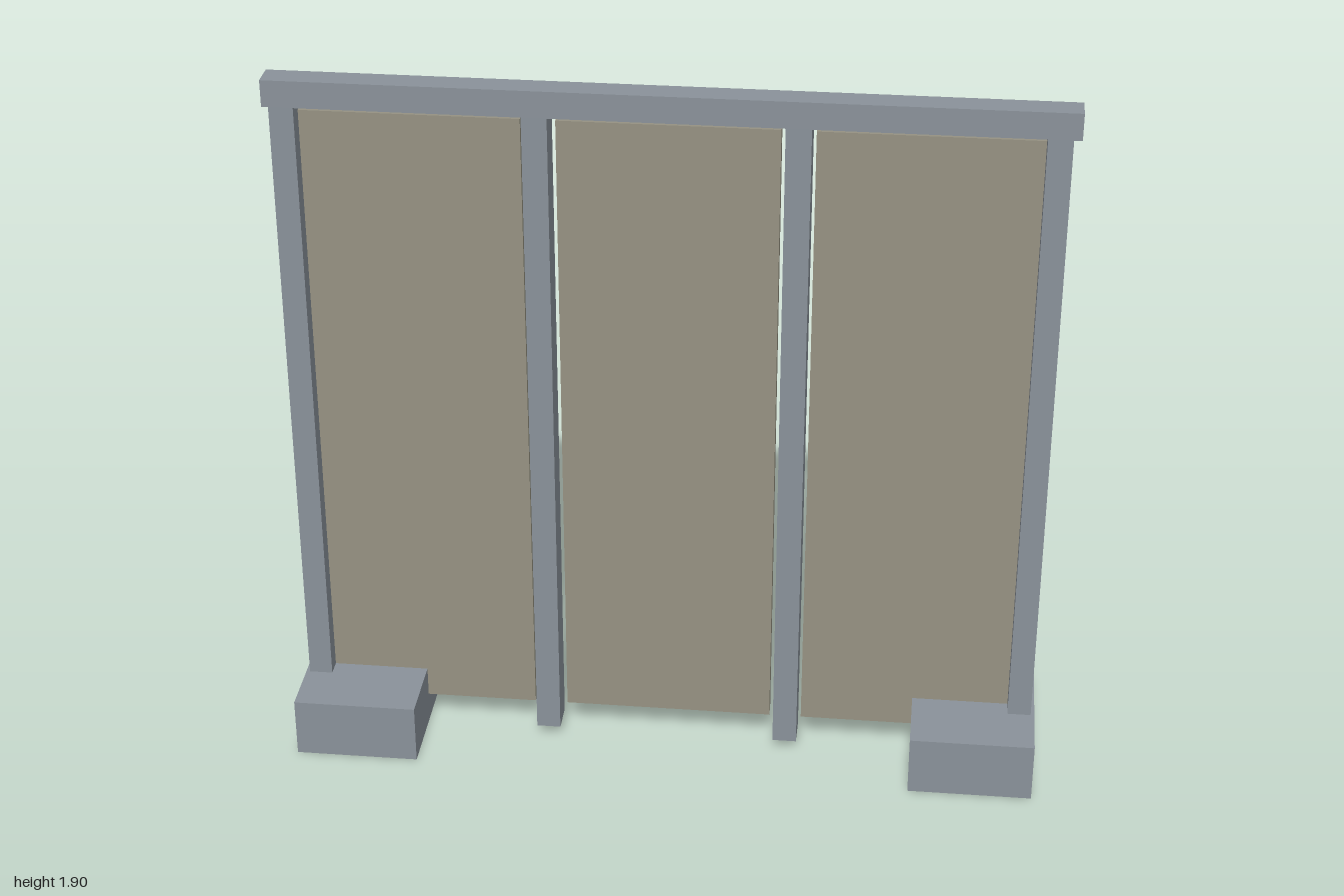
import * as THREE from 'three';

export function createModel() {
  const model = new THREE.Group();

  const steel = new THREE.MeshStandardMaterial({ color: 0x8a929a });
  steel.name = 'steel grey';
  const board = new THREE.MeshStandardMaterial({ color: 0x969282 });
  board.name = 'board beige';

  // Box given by its minimum and maximum on each axis
  function addBox(name, material, [x0, x1], [y0, y1], [z0, z1]) {
    const mesh = new THREE.Mesh(new THREE.BoxGeometry(x1 - x0, y1 - y0, z1 - z0), material);
    mesh.position.set((x0 + x1) / 2, (y0 + y1) / 2, (z0 + z1) / 2);
    mesh.name = name;
    model.add(mesh);
  }

  // Top rail along the front of the posts
  addBox('topRail', steel, [-1, 1], [1.83, 1.9], [-0.003, 0.068]);

  // Footing blocks under the two ends
  addBox('rightFooting', steel, [-0.995, -0.667], [0, 0.163], [-0.212, 0.212]);
  addBox('leftFooting', steel, [0.662, 0.99], [0, 0.163], [-0.212, 0.212]);

  // Four posts; the inner two hang just above the ground
  const postDepth = [-0.025, 0.06];
  addBox('rightEndPost', steel, [-0.985, -0.923], [0.03, 1.852], postDepth);
  addBox('rightInnerPost', steel, [-0.358, -0.294], [0.03, 1.852], postDepth);
  addBox('leftInnerPost', steel, [0.289, 0.353], [0.03, 1.852], postDepth);
  addBox('leftEndPost', steel, [0.918, 0.98], [0.03, 1.852], postDepth);

  // Three infill panels with narrow gaps at the inner posts
  [['rightPanel', -0.924], ['middlePanel', -0.28], ['leftPanel', 0.362]].forEach(([name, x]) =>
    addBox(name, board, [x, x + 0.556], [0.08, 1.803], [-0.021, 0.013]));

  return model;
}
